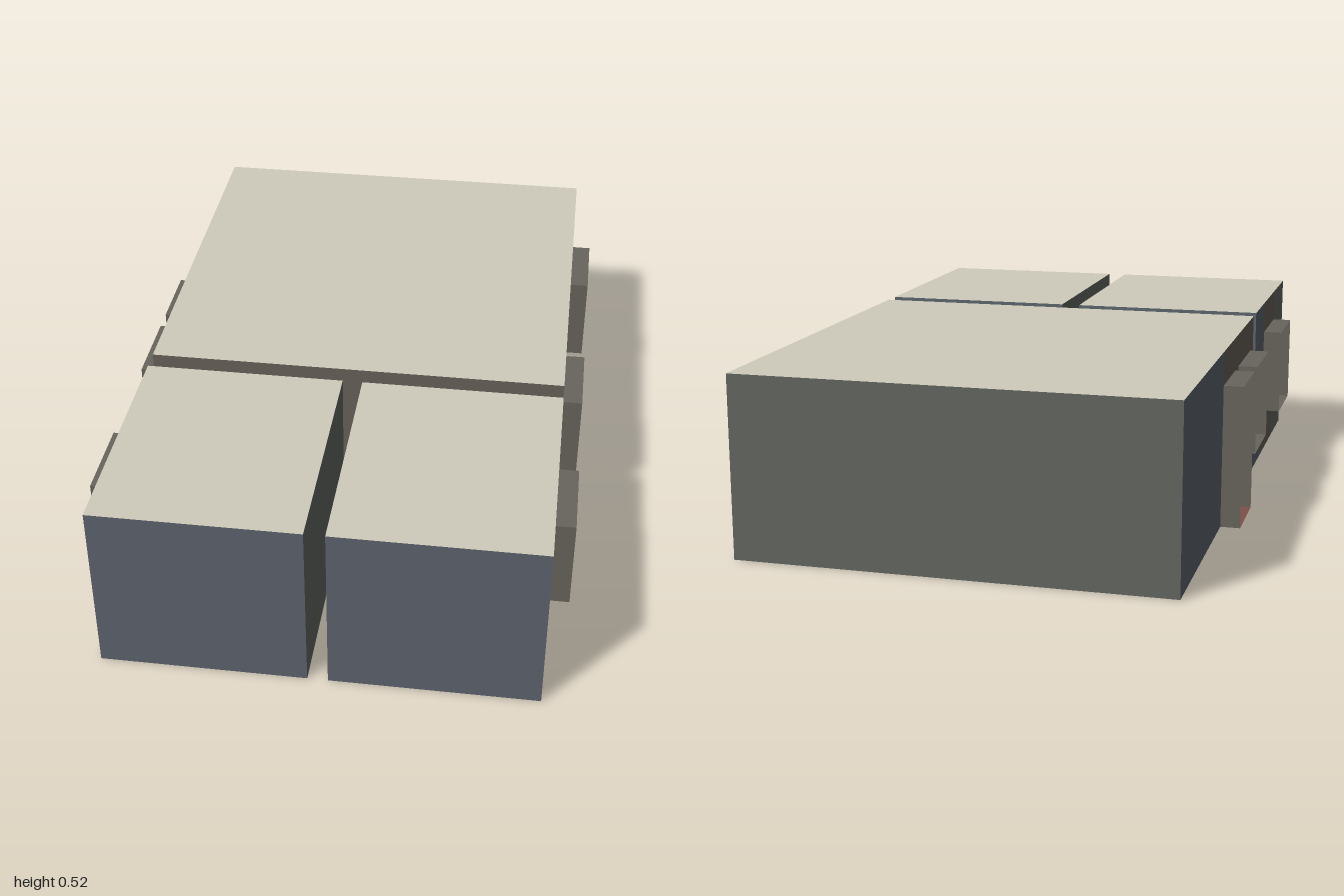
import * as THREE from 'three';

const H = 0.52, SILL = 0.15, HEAD = 0.42, X = 0.617, GAP = 0.058;
const ROOF = 0xcfccbc, FLOOR = 0x66645c, FRAME = 0x68655d, SILLRED = 0x80504a;
const BLUE = 0x5e676e, GREEN = 0x626862, BROWN = 0x68625a, FRONT = 0x5e656f, BACK = 0x646860;

const mats = {};
const mat = (color) => (mats[color] ??= new THREE.MeshStandardMaterial({ color, side: THREE.DoubleSide }));

// Upright thin panel between two plan points [x, z]
function upright(group, name, a, b, y0, y1, color) {
  const dx = b[0] - a[0], dz = b[1] - a[1];
  const m = new THREE.Mesh(new THREE.PlaneGeometry(Math.hypot(dx, dz), y1 - y0), mat(color));
  m.position.set((a[0] + b[0]) / 2, (y0 + y1) / 2, (a[1] + b[1]) / 2);
  m.rotation.y = Math.atan2(-dz, dx);
  m.name = name;
  group.add(m);
}

// Level thin panel; up = true faces the sky
function level(group, name, x0, x1, z0, z1, y, color, up = true) {
  const m = new THREE.Mesh(new THREE.PlaneGeometry(Math.abs(x1 - x0), Math.abs(z1 - z0)), mat(color));
  m.rotation.x = up ? -Math.PI / 2 : Math.PI / 2;
  m.position.set((x0 + x1) / 2, y, (z0 + z1) / 2);
  m.name = name;
  group.add(m);
}

// Wall along x (at fixed z) or along z (at fixed x), split into strips.
// strips: [start, end, color, kind], kind = 'window' | 'door' | undefined
function wall(group, name, axis, at, strips) {
  const pt = (t) => (axis === 'x' ? [t, at] : [at, t]);
  for (const [s, e, color, kind] of strips) {
    const a = pt(s), b = pt(e);
    if (!kind) { upright(group, name, a, b, 0, H, color); continue; }
    upright(group, name + 'Lintel', a, b, HEAD, H, color);
    if (kind === 'window') upright(group, name + 'Sill', a, b, 0, SILL, color);
  }
}

// Open rectangular sleeve around an opening, through x or through z
function sleeve(parent, name, through, d0, d1, s, e, kind) {
  const g = new THREE.Group();
  g.name = name;
  const y0 = kind === 'door' ? 0 : SILL;
  const pt = (d, t) => (through === 'x' ? [d, t] : [t, d]);
  for (const t of [s, e]) upright(g, 'jamb', pt(d0, t), pt(d1, t), y0, HEAD, FRAME);
  const [p, q] = [pt(d0, s), pt(d1, e)];
  level(g, 'head', p[0], q[0], p[1], q[1], HEAD, FRAME);
  level(g, 'base', p[0], q[0], p[1], q[1], y0, kind === 'door' ? SILLRED : FRAME, kind !== 'door');
  parent.add(g);
}

function room(parent, name, x0, x1, z0, z1, walls) {
  const g = new THREE.Group();
  g.name = name;
  level(g, 'roof', x0, x1, z0, z1, H, ROOF);
  level(g, 'floor', x0, x1, z0, z1, 0, FLOOR, false);
  for (const w of walls) wall(g, ...w);
  parent.add(g);
}

export function createModel() {
  const house = new THREE.Group();
  house.name = 'house';
  const zm = 0.235, zs = 0.295, xi = 0.03;

  // Large rear room
  room(house, 'mainRoom', -X, X, -1, zm, [
    ['backWall', 'x', -1, [[-X, X, BACK]]],
    ['frontWall', 'x', zm, [
      [-X, -0.5, BROWN], [-0.5, -0.28, BROWN, 'door'], [-0.28, 0, BROWN],
      [0, 0.27, BROWN], [0.27, 0.483, BROWN, 'door'], [0.483, X, BROWN]]],
    ['leftWall', 'z', X, [
      [zm, 0.175, BROWN], [0.175, -0.075, BROWN, 'window'], [-0.075, -0.505, BLUE],
      [-0.505, -0.757, BROWN, 'window'], [-0.757, -1, GREEN]]],
    ['rightWall', 'z', -X, [
      [zm, 0.175, BROWN], [0.175, -0.075, BROWN, 'window'], [-0.075, -0.142, BROWN],
      [-0.142, -0.36, BROWN, 'door'], [-0.36, -1, BLUE]]],
  ]);

  // Two small front rooms
  const sideStrips = [[1, 0.757, GREEN], [0.757, 0.505, BROWN, 'window'], [0.505, zs, BLUE]];
  room(house, 'leftRoom', xi - 0.002, X, zs, 1, [
    ['frontWall', 'x', 1, [[xi - 0.002, X, FRONT]]],
    ['backWall', 'x', zs, [[xi - 0.002, 0.27, BLUE], [0.27, 0.483, BLUE, 'door'], [0.483, X, BLUE]]],
    ['outerWall', 'z', X, sideStrips],
    ['innerWall', 'z', xi - 0.002, [[zs, 1, GREEN]]],
  ]);
  room(house, 'rightRoom', -X, -xi, zs, 1, [
    ['frontWall', 'x', 1, [[-X, -xi, FRONT]]],
    ['backWall', 'x', zs, [[-X, -0.5, BLUE], [-0.5, -0.28, BLUE, 'door'], [-0.28, -xi, BLUE]]],
    ['outerWall', 'z', -X, sideStrips],
    ['innerWall', 'z', -xi, [[zs, 1, GREEN]]],
  ]);

  // Window sleeves standing out from the side walls
  for (const [side, s, e] of [[1, 0.505, 0.757], [1, -0.075, 0.175], [1, -0.757, -0.505],
    [-1, 0.505, 0.757], [-1, -0.075, 0.175]])
    sleeve(house, 'windowFrame', 'x', side * X, side * (X + GAP), s, e, 'window');

  // Outer doorway and the two passages between rooms
  sleeve(house, 'doorFrame', 'x', -X, -X - GAP, -0.36, -0.142, 'door');
  sleeve(house, 'passage', 'z', zm, zs, -0.5, -0.28, 'door');
  sleeve(house, 'passage', 'z', zm, zs, 0.27, 0.483, 'door');
  return house;
}
